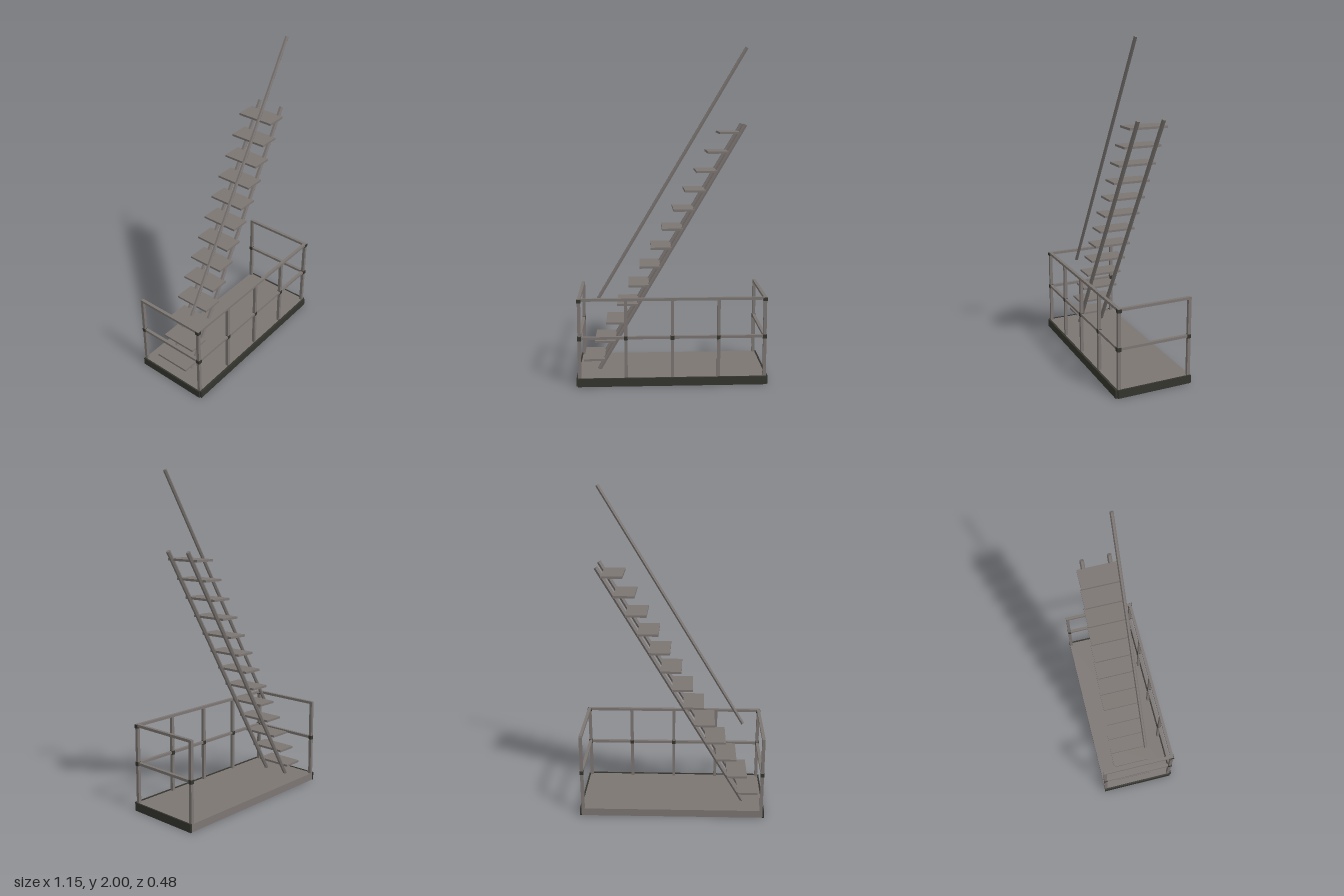
import * as THREE from 'three';

export function createModel() {
  const model = new THREE.Group();
  model.name = 'platformStair';
  const steel = new THREE.MeshStandardMaterial({ name: 'warm grey steel', color: 0x7c7673, flatShading: true });
  const dark = new THREE.MeshStandardMaterial({ name: 'dark steel', color: 0x35352e, flatShading: true });
  // Plates are steel with a dark underside (box face order: +x -x +y -y +z -z)
  const plate = [steel, steel, steel, dark, steel, steel];

  const box = (name, mat, w, h, d, x, y, z, parent = model) => {
    const m = new THREE.Mesh(new THREE.BoxGeometry(w, h, d), mat);
    m.name = name;
    m.position.set(x, y, z);
    parent.add(m);
  };
  // Six-sided bar between two points
  const bar = (name, r, a, b, parent) => {
    const from = new THREE.Vector3(...a), to = new THREE.Vector3(...b);
    const dir = to.clone().sub(from);
    const m = new THREE.Mesh(new THREE.CylinderGeometry(r, r, dir.length(), 6), steel);
    m.name = name;
    m.position.copy(from).add(to).multiplyScalar(0.5);
    m.quaternion.setFromUnitVectors(new THREE.Vector3(0, 1, 0), dir.normalize());
    parent.add(m);
  };

  // Solid platform deck with toe boards on three sides, bare at the back
  box('deck', plate, 1.13, 0.047, 0.466, 0, 0.0235, -0.008);
  box('frontToeBoard', dark, 1.13, 0.05, 0.013, 0, 0.025, 0.2315);
  for (const s of [-1, 1]) {
    box(s > 0 ? 'leftToeBoard' : 'rightToeBoard', dark, 0.01, 0.05, 0.469, s * 0.568, 0.025, -0.0085);
  }

  // Guard rail: posts, two rail heights and slightly thicker joint sleeves
  const guard = new THREE.Group();
  guard.name = 'guardRail';
  model.add(guard);
  const X = 0.554, ZF = 0.215, ZB = -0.231, T = 0.019;
  const heights = [0.295, 0.528];
  const posts = [-X, -X / 2, 0, X / 2, X].map((x) => [x, ZF]);
  posts.push([-X, ZB], [X, ZB]);
  for (const [x, z] of posts) {
    box('post', steel, T, 0.49, T, x, 0.289, z, guard);
    const corner = Math.abs(x) === X && z === ZF;
    const size = corner ? T + 0.006 : T + 0.003;
    box('jointSleeve', dark, size, 0.024, size, x, heights[0] - 0.002, z, guard);
    if (corner) box('jointSleeve', dark, size, 0.02, size, x, heights[1] - 0.006, z, guard);
  }
  for (const y of heights) {
    box('frontRail', steel, 2 * X + T, 0.016, T, 0, y, ZF, guard);
    for (const s of [-1, 1]) box('sideRail', steel, T, 0.016, ZF - ZB, s * X, y, (ZF + ZB) / 2, guard);
  }

  // Inclined stair: two stringers, open treads and one handrail
  const stair = new THREE.Group();
  stair.name = 'stair';
  model.add(stair);
  for (const z of [0.051, -0.108]) {
    bar('stringer', 0.0135, [-0.443, 0.047, z], [0.442, 1.548, z], stair);
  }
  for (let i = 0; i < 13; i++) {
    box('tread', plate, 0.126, 0.013, 0.233, -0.473 + i * 0.0685, 0.113 + i * 0.1155, -0.031, stair);
  }
  bar('handrail', 0.011, [-0.444, 0.5, 0.069], [0.442, 1.995, 0.069], stair);

  return model;
}
